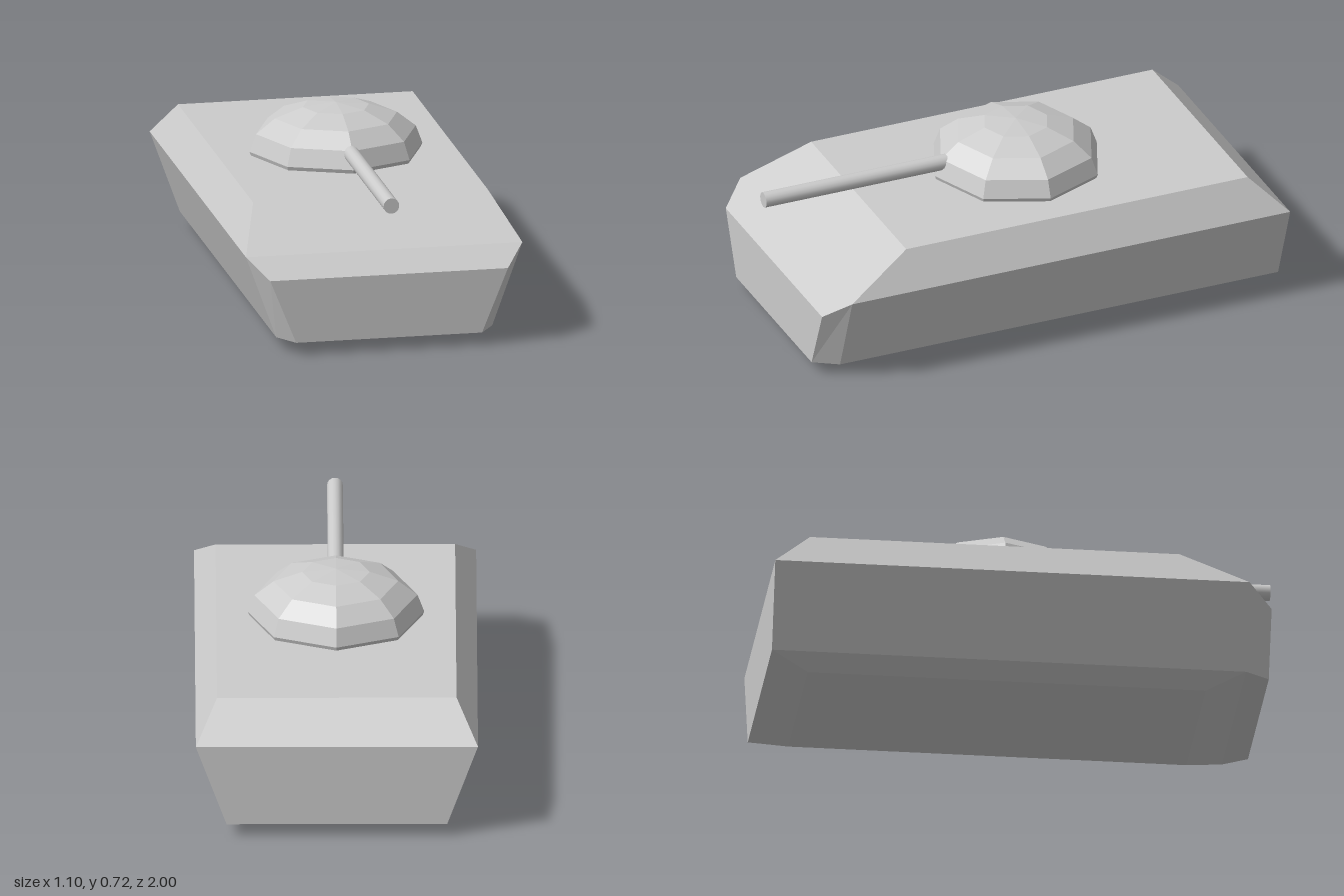
import * as THREE from 'three';

const flat = new THREE.MeshStandardMaterial({ color: 0xcccccc, flatShading: true });
const smooth = new THREE.MeshStandardMaterial({ color: 0xcccccc });

// Hull corners on the left (+x) side; the right side mirrors them
const deckFront = [0.467, 0.525, 0.595], deckBack = [0.467, 0.525, -0.855];
const beltFront = [0.55, 0.38, 0.86], beltBack = [0.55, 0.38, -1];
const noseTop = [0.473, 0.305, 0.955], noseLow = [0.37, 0.05, 0.955];
const lowFront = [0.43, 0.05, 0.86], lowBack = [0.43, 0.05, -1];
const floorFront = [0.345, 0, 0.71], floorBack = [0.345, 0, -0.85];

const mirror = ([x, y, z]) => [-x, y, z];

function hullGeometry() {
  const positions = [];
  const quad = (a, b, c, d) => positions.push(...a, ...b, ...c, ...a, ...c, ...d);

  // Panels spanning the full width, around the side profile
  const profile = [deckFront, beltFront, noseTop, noseLow, lowFront,
    floorFront, floorBack, lowBack, beltBack, deckBack];
  profile.forEach((a, i) => {
    const b = profile[(i + 1) % profile.length];
    quad(mirror(a), mirror(b), b, a);
  });

  // Side panels: upper slope, main side, nose cheek, lower bevel
  const sides = [
    [deckBack, deckFront, beltFront, beltBack],
    [beltBack, beltFront, lowFront, lowBack],
    [beltFront, noseTop, noseLow, lowFront],
    [lowBack, lowFront, floorFront, floorBack],
  ];
  for (const side of sides) {
    quad(...side);
    quad(...side.map(mirror).reverse());
  }

  const geometry = new THREE.BufferGeometry();
  geometry.setAttribute('position', new THREE.Float32BufferAttribute(positions, 3));
  geometry.computeVertexNormals();
  return geometry;
}

export function createModel() {
  const model = new THREE.Group();
  model.name = 'tank';

  const add = (name, geometry, material) => {
    const mesh = new THREE.Mesh(geometry, material);
    mesh.name = name;
    model.add(mesh);
    return mesh;
  };

  add('hull', hullGeometry(), flat);

  // Turret: faceted flattened dome sunk slightly into the deck
  const dome = new THREE.SphereGeometry(0.344, 8, 8).scale(1, 0.532, 1);
  add('turret', dome, flat).position.set(0, 0.54, -0.072);

  // Gun barrel: starts inside the turret and points forward
  const barrelStart = 0.1, barrelEnd = 1;
  const barrel = new THREE.CylinderGeometry(0.031, 0.031, barrelEnd - barrelStart, 16)
    .rotateX(Math.PI / 2);
  add('barrel', barrel, smooth).position.set(0, 0.595, (barrelStart + barrelEnd) / 2);

  return model;
}
